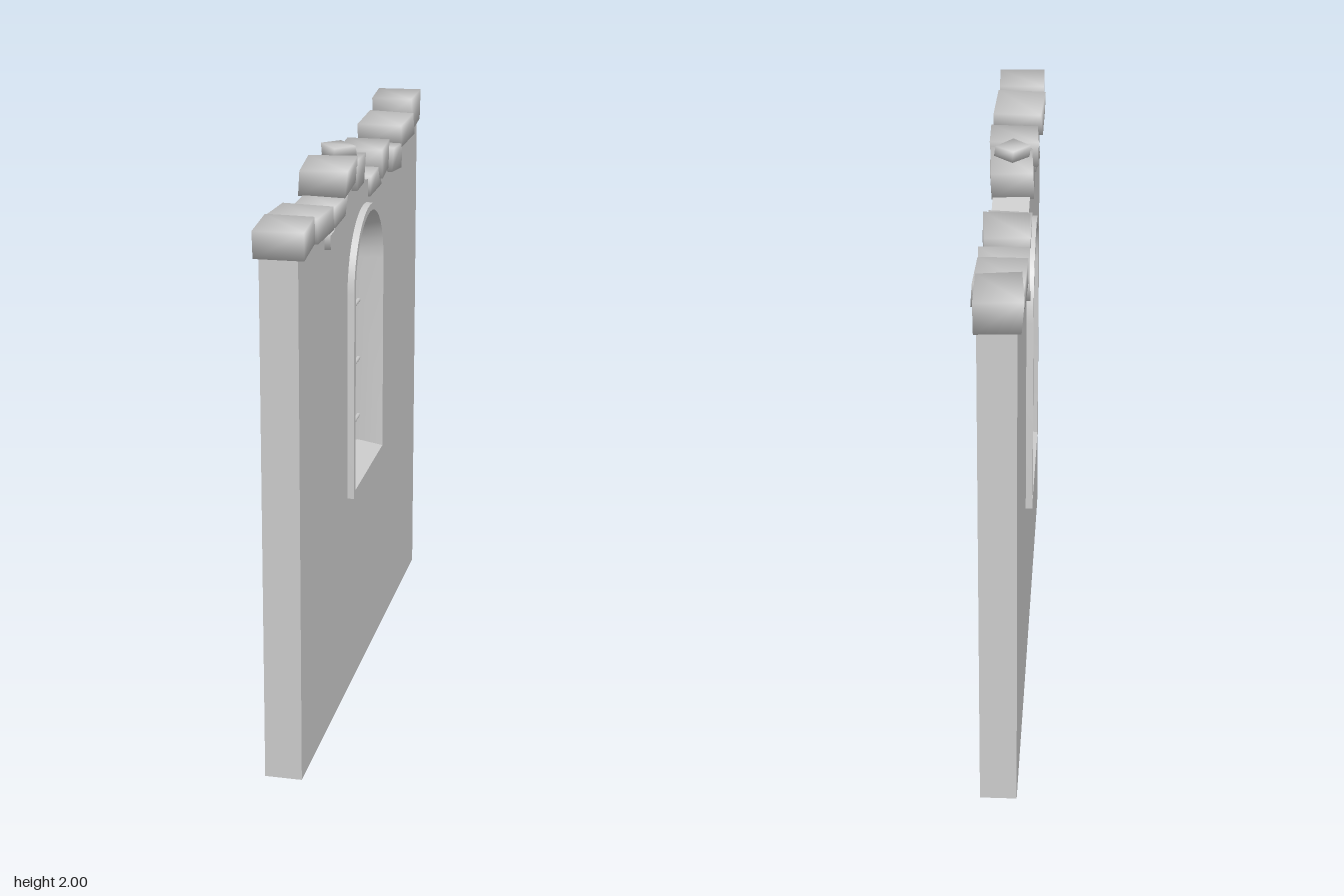
import * as THREE from 'three';
import { mergeVertices, toCreasedNormals } from 'three/addons/utils/BufferGeometryUtils.js';

const MID = -0.004;      // middle plane of the wall thickness
const SPRING = 1.505;    // height where the window arch starts
const SILL = 0.75;       // underside of the window frame
const OUTER = 0.255;     // outer half width of the window frame

// Window outline of half width r: up the left jamb, over the arch, down the right jamb
function archOutline(r, segments = 18) {
  const bottom = SILL + OUTER - r;
  const pts = [new THREE.Vector2(-r, bottom)];
  for (let i = 0; i <= segments; i++) {
    const a = Math.PI * (1 - i / segments);
    pts.push(new THREE.Vector2(r * Math.cos(a), SPRING + r * Math.sin(a)));
  }
  pts.push(new THREE.Vector2(r, bottom));
  return pts;
}

// Frame swept from cross-sections [depth, half width]; the throat narrows at the middle
function frameGeometry() {
  const profile = [[0.088, OUTER], [0.088, 0.23], [0, 0.205], [-0.088, 0.23], [-0.088, OUTER]];
  const loops = profile.map(([, r]) => archOutline(r));
  const n = loops[0].length, m = profile.length;
  const positions = [], index = [];
  for (let i = 0; i < n; i++) {
    for (let j = 0; j < m; j++) positions.push(loops[j][i].x, loops[j][i].y, profile[j][0]);
  }
  for (let i = 0; i < n; i++) {
    for (let j = 0; j < m; j++) {
      const i2 = (i + 1) % n, j2 = (j + 1) % m;
      const a = i * m + j, b = i * m + j2, c = i2 * m + j, d = i2 * m + j2;
      index.push(a, b, c, b, d, c);
    }
  }
  const geo = new THREE.BufferGeometry();
  geo.setAttribute('position', new THREE.Float32BufferAttribute(positions, 3));
  geo.setIndex(index);
  return toCreasedNormals(geo, 0.7);
}

// Small repeatable random source, -1 to 1
function seeded(seed) {
  return () => {
    seed = (seed * 16807) % 2147483647;
    return (seed / 2147483647) * 2 - 1;
  };
}

// Irregular block with shared corners, so it shades softly like a worn stone
function stoneGeometry(length, height, depth, rand) {
  let geo = new THREE.BoxGeometry(length, height, depth);
  geo.deleteAttribute('normal');
  geo.deleteAttribute('uv');
  geo = mergeVertices(geo);
  const p = geo.attributes.position;
  for (let i = 0; i < p.count; i++) {
    p.setXYZ(i, p.getX(i) + rand() * 0.005, p.getY(i) + rand() * 0.003, p.getZ(i) + rand() * 0.006);
  }
  geo.computeVertexNormals();
  return geo;
}

export function createModel() {
  const model = new THREE.Group();
  model.name = 'ruinedWindowWall';
  const material = new THREE.MeshStandardMaterial({ color: 0xcccccc });

  // Everything is drawn in the wall plane, then turned to run along z
  const body = new THREE.Group();
  body.name = 'wallAssembly';
  body.rotation.y = Math.PI / 2;
  model.add(body);
  const add = (name, geo, parent = body) => {
    const mesh = new THREE.Mesh(geo, material);
    mesh.name = name;
    parent.add(mesh);
    return mesh;
  };

  // Wall slab with a broken top edge and an arched opening
  const outline = [
    [-0.955, 0], [0.955, 0], [0.955, 1.87], [0.77, 1.87], [0.77, 1.85], [0.58, 1.85], [0.57, 1.79],
    [0.4, 1.82], [0.22, 1.82], [0.21, 1.79], [0.075, 1.79], [0.07, 1.833], [0, 1.848], [-0.18, 1.88],
    [-0.32, 1.89], [-0.33, 1.82], [-0.45, 1.82], [-0.455, 1.787], [-0.57, 1.785], [-0.6, 1.85], [-0.955, 1.85],
  ].map(([u, y]) => new THREE.Vector2(u, y));
  const wallShape = new THREE.Shape(outline);
  wallShape.holes.push(new THREE.Path(archOutline(0.245)));
  const wall = add('wall', new THREE.ExtrudeGeometry(wallShape, { depth: 0.128, bevelEnabled: false }));
  wall.position.z = MID - 0.064;

  // Window frame and bars
  add('windowFrame', frameGeometry()).position.z = MID;
  const bars = new THREE.Group();
  bars.name = 'windowBars';
  bars.position.z = MID;
  body.add(bars);
  const bar = (name, length, y) => {
    const mesh = add(name, new THREE.CylinderGeometry(0.008, 0.008, length, 8), bars);
    mesh.position.y = y;
    return mesh;
  };
  bar('uprightBar', 0.93, 1.255);
  for (let i = 0; i < 4; i++) bar('crossBar', 0.42, 0.897 + i * 0.223).rotation.z = Math.PI / 2;

  // Loose capping stones: [along, height, length, thickness, depth, tilt, turn]
  const stones = [
    [-0.878, 1.878, 0.18, 0.09, 0.165, 0.04, 0.03],
    [-0.682, 1.872, 0.2, 0.08, 0.172, -0.02, -0.02],
    [-0.565, 1.79, 0.095, 0.062, 0.14, -0.06, 0.25],
    [-0.39, 1.838, 0.152, 0.07, 0.145, 0.03, -0.02],
    [-0.27, 1.925, 0.176, 0.092, 0.165, 0.08, 0.02],
    [-0.098, 1.9, 0.19, 0.1, 0.15, -0.09, 0.06],
    [-0.113, 1.978, 0.085, 0.039, 0.085, 0, Math.PI / 4],
    [0.15, 1.807, 0.152, 0.067, 0.145, 0.03, -0.02],
    [0.305, 1.848, 0.182, 0.105, 0.155, -0.03, 0.05],
    [0.483, 1.812, 0.175, 0.09, 0.165, -0.14, 0.03],
    [0.665, 1.874, 0.2, 0.083, 0.17, 0.02, -0.03],
    [0.868, 1.906, 0.194, 0.113, 0.152, -0.03, 0.05],
  ];
  const rand = seeded(4217);
  const cap = new THREE.Group();
  cap.name = 'cappingStones';
  body.add(cap);
  for (const [u, y, length, height, depth, tilt, turn] of stones) {
    const stone = add('cappingStone', stoneGeometry(length, height, depth, rand), cap);
    stone.position.set(u, y, MID);
    stone.rotation.set(0, turn, tilt);
  }
  return model;
}
